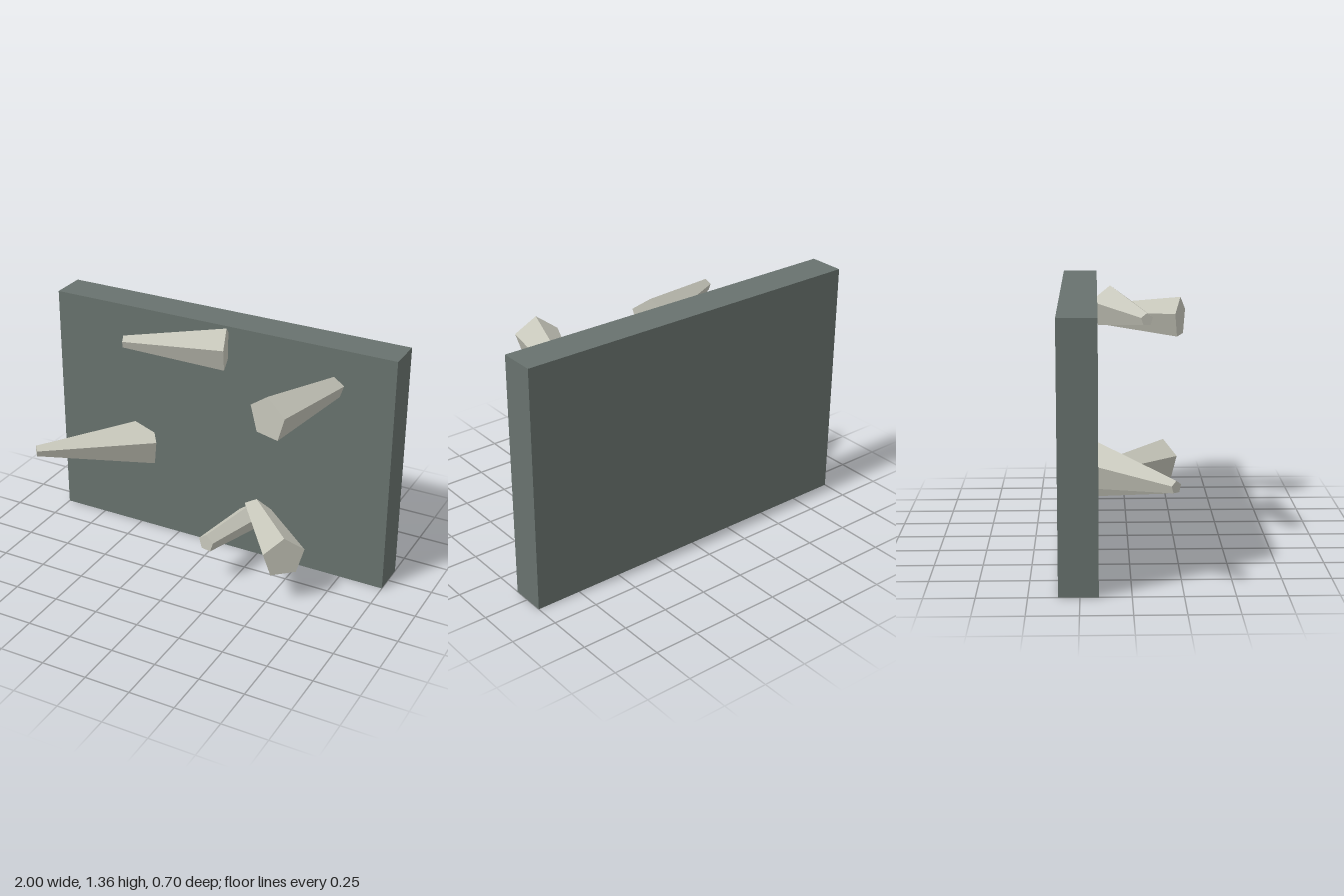
import * as THREE from 'three';

export function createModel() {
  const model = new THREE.Group();
  model.name = 'spikedWall';
  const stone = new THREE.MeshStandardMaterial({ color: 0x68726e, flatShading: true });
  const crystal = new THREE.MeshStandardMaterial({ color: 0xc6c6ba, flatShading: true });

  // Upright slab at the back
  const slab = new THREE.Mesh(new THREE.BoxGeometry(2, 1.345, 0.195), stone);
  slab.name = 'wallSlab';
  slab.position.set(0, 0.6725, -0.2575);
  model.add(slab);

  // Five-sided tapered spike from one centre to another, one ridge facing up
  function addSpike(name, from, fromRadius, to, toRadius) {
    const a = new THREE.Vector3(...from);
    const b = new THREE.Vector3(...to);
    const geometry = new THREE.CylinderGeometry(fromRadius, toRadius, a.distanceTo(b), 5);
    geometry.rotateX(-Math.PI / 2);
    const spike = new THREE.Mesh(geometry, crystal);
    spike.name = name;
    spike.position.copy(a).lerp(b, 0.5);
    spike.lookAt(b);
    model.add(spike);
  }

  // Thick end at the wall
  addSpike('upperSpike', [0.08, 1.249, -0.09], 0.116, [-0.437, 1.255, 0.088], 0.033);
  addSpike('sideSpike', [-0.456, 0.524, -0.22], 0.14, [-0.953, 0.528, 0.21], 0.032);
  addSpike('lowerSmallSpike', [0.23, 0.235, -0.26], 0.081, [0.13, 0.248, 0.228], 0.05);

  // Thick end facing outward
  addSpike('upperBluntSpike', [0.695, 1.13, -0.26], 0.047, [0.515, 1.127, 0.313], 0.12);
  addSpike('lowerBluntSpike', [0.15, 0.289, -0.26], 0.048, [0.585, 0.286, 0.222], 0.119);

  return model;
}
